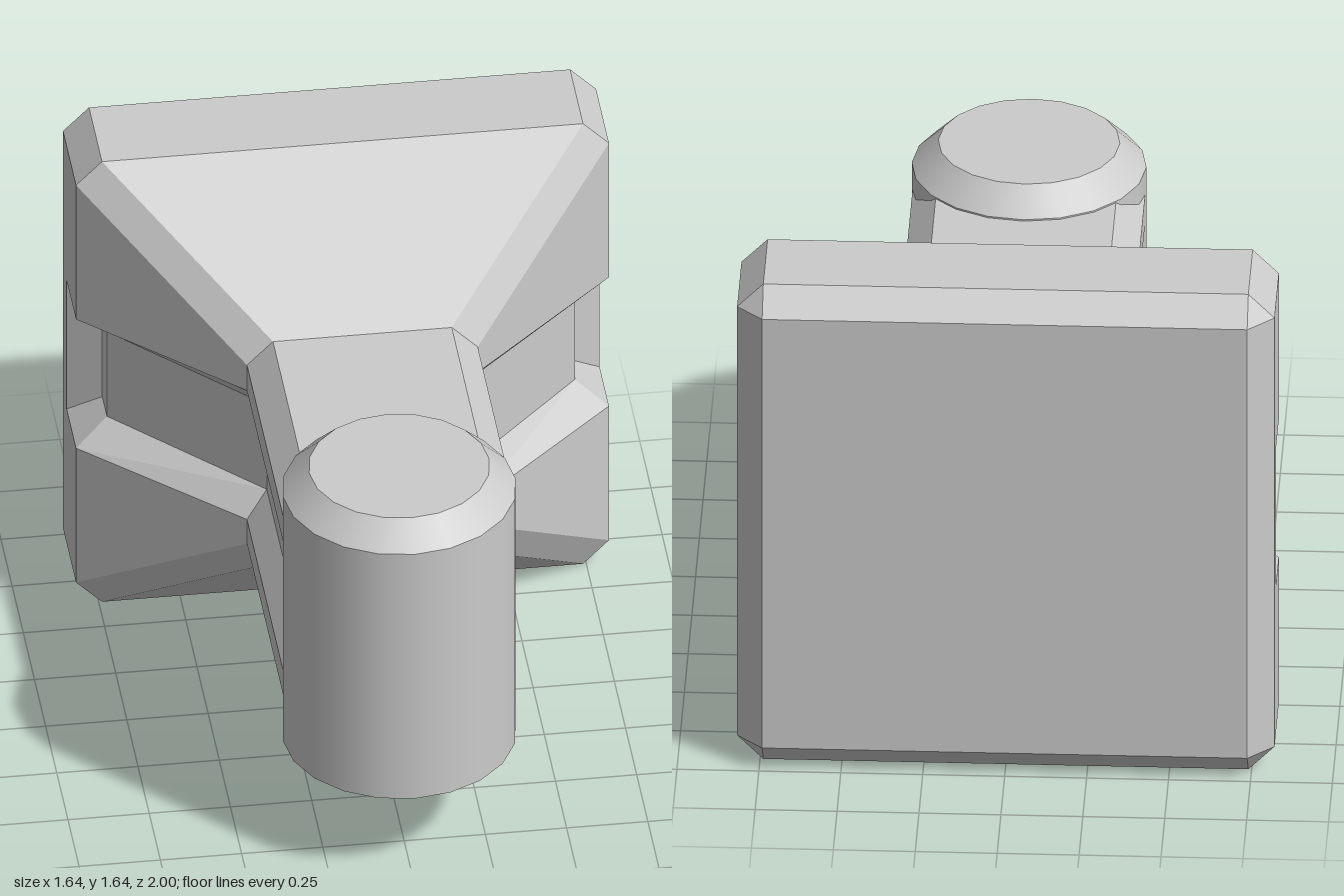
import * as THREE from 'three';

const material = new THREE.MeshStandardMaterial({ color: 0xcccccc });
const flatMaterial = new THREE.MeshStandardMaterial({ color: 0xcccccc, flatShading: true });

// Chamfered outline with a notch in each side; the notch floor has its own depth in z.
function crossSection({ z, w, y0, y1, c, floor, floorZ, n0 = 0.665, n1 = 0.98 }) {
  const right = [
    [w - c, y0, z], [w, y0 + c, z],
    [w, 0.58, z], [floor, n0, floorZ], [floor, n1, floorZ], [w, 1.06, z],
    [w, y1 - c, z], [w - c, y1, z],
  ];
  const left = right.map(([x, y, d]) => [-x, y, d]).reverse();
  return [...right, ...left].map((p) => new THREE.Vector3(...p));
}

// Joins the sections from front to back and closes both ends.
function loft(sections) {
  const positions = [];
  const tri = (a, b, c) => {
    if (new THREE.Triangle(a, b, c).getArea() > 1e-7) {
      for (const p of [a, b, c]) positions.push(p.x, p.y, p.z);
    }
  };
  const count = sections[0].length;
  const first = sections[0];
  const last = sections[sections.length - 1];
  const frontCentre = new THREE.Vector3(0, 0.82, first[0].z);
  const backCentre = new THREE.Vector3(0, 0.82, last[0].z);
  for (let j = 0; j < count; j++) {
    const k = (j + 1) % count;
    for (let i = 0; i < sections.length - 1; i++) {
      const s = sections[i];
      const t = sections[i + 1];
      tri(s[j], t[j], t[k]);
      tri(s[j], t[k], s[k]);
    }
    tri(frontCentre, first[j], first[k]);
    tri(backCentre, last[k], last[j]);
  }
  const geometry = new THREE.BufferGeometry();
  geometry.setAttribute('position', new THREE.Float32BufferAttribute(positions, 3));
  geometry.computeVertexNormals();
  return geometry;
}

export function createModel() {
  const model = new THREE.Group();
  model.name = 'groovedConnector';

  // Neck, flared shoulder and square plate, with a groove along each side
  const neck = { w: 0.355, y0: 0.41, y1: 1.235, c: 0.08, floor: 0.29 };
  const plate = { w: 0.82, y0: 0, y1: 1.64, c: 0.08, floor: 0.72 };
  const closed = { n0: 0.58, n1: 1.06 };
  const body = new THREE.Mesh(loft([
    crossSection({ ...neck, z: 0.64, floorZ: 0.64 }),
    crossSection({ ...neck, z: -0.185, floorZ: -0.215 }),
    crossSection({ ...plate, z: -0.63, floorZ: -0.665 }),
    crossSection({ ...plate, z: -0.84, floorZ: -0.77 }),
    crossSection({ ...plate, ...closed, floor: 0.82, z: -0.84, floorZ: -0.84 }),
    crossSection({ ...plate, ...closed, floor: 0.82, z: -0.92, floorZ: -0.92 }),
    crossSection({ ...closed, w: 0.74, y0: 0.08, y1: 1.56, c: 0, floor: 0.74, z: -1, floorZ: -1 }),
  ]), flatMaterial);
  body.name = 'neckAndPlate';
  model.add(body);

  // Upright pin with a bevelled top
  const pin = new THREE.Group();
  pin.name = 'pin';
  pin.position.z = 0.64;
  const parts = [
    ['pinShaft', 0.358, 0.33, 1.24],
    ['pinBevel', 0.277, 1.24, 1.32],
  ];
  for (const [name, topRadius, bottom, top] of parts) {
    const mesh = new THREE.Mesh(
      new THREE.CylinderGeometry(topRadius, 0.358, top - bottom, 20), material);
    mesh.name = name;
    mesh.position.y = (top + bottom) / 2;
    pin.add(mesh);
  }
  model.add(pin);

  return model;
}
